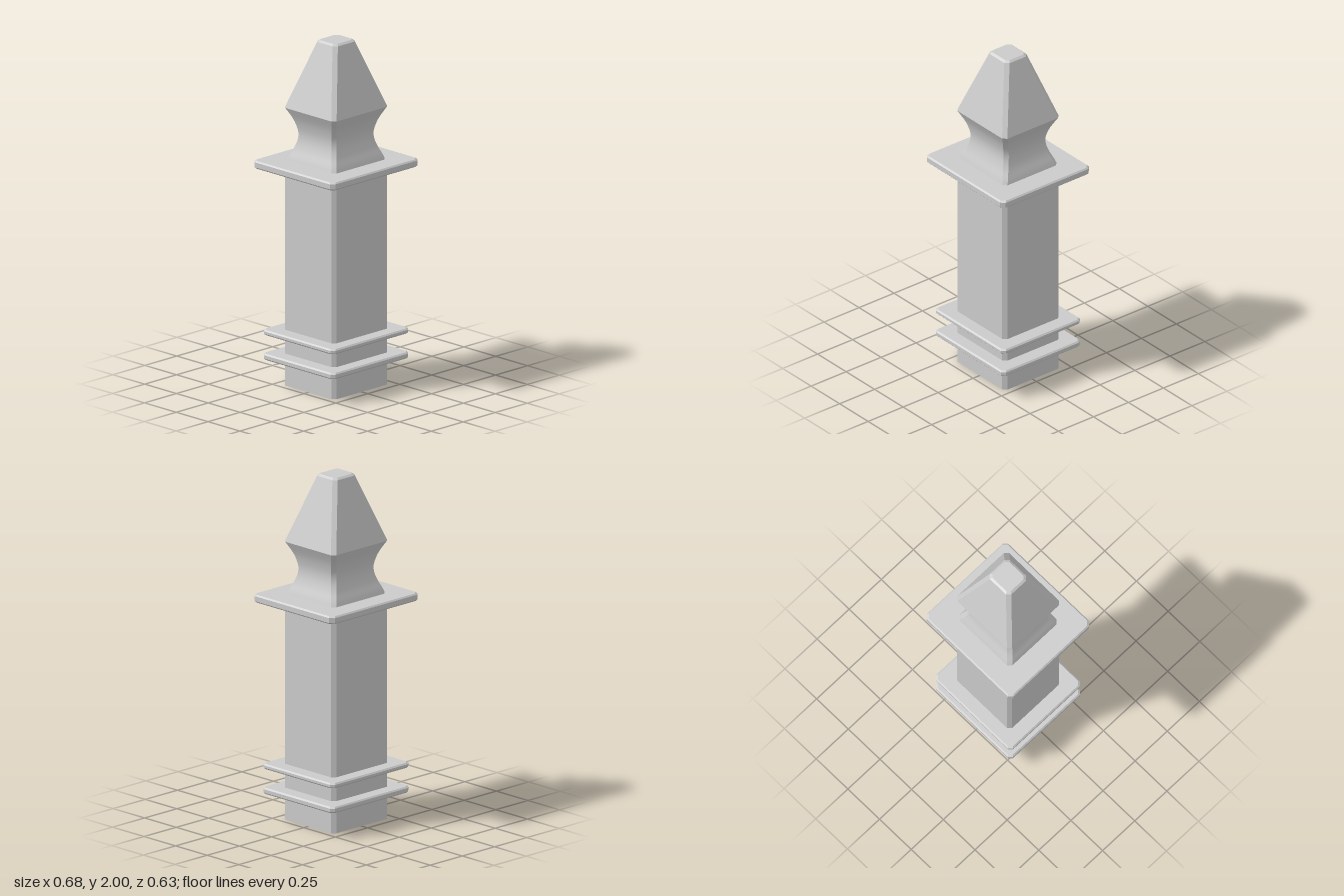
import * as THREE from 'three';

const grey = new THREE.MeshStandardMaterial({ color: 0xcccccc, side: THREE.DoubleSide });

// Rectangle with cut corners, counter-clockwise seen from above
function section([hx, hz, y, c]) {
  return [
    [hx, hz - c], [hx, c - hz], [hx - c, -hz], [c - hx, -hz],
    [-hx, c - hz], [-hx, hz - c], [c - hx, hz], [hx - c, hz],
  ].map(([x, z]) => [x, y, z]);
}

// Skin through sections [halfX, halfZ, y, cornerCut]; sides stay sharp, rows may be smooth
function loft(name, sections, smooth = false) {
  const rows = sections.map(section);
  const pos = [], index = [];
  for (let side = 0; side < 8; side++) {
    const base = pos.length / 3;
    rows.forEach((row) => pos.push(...row[side], ...row[(side + 1) % 8]));
    for (let r = 0; r < rows.length - 1; r++) {
      const a = base + r * 2;
      index.push(a, a + 1, a + 3, a, a + 3, a + 2);
    }
  }
  let geo = new THREE.BufferGeometry();
  geo.setAttribute('position', new THREE.Float32BufferAttribute(pos, 3));
  geo.setIndex(index);
  if (!smooth) geo = geo.toNonIndexed();
  geo.computeVertexNormals();
  const mesh = new THREE.Mesh(geo, grey);
  mesh.name = name;
  return mesh;
}

// Flat rectangular ring with bevelled outer edges, open in the middle
function ring(name, hx, hz, y0, y1, cut, bevel) {
  const inner = (y) => [0.185, 0.17, y, 0.02];
  const inset = (y) => [hx - bevel, hz - bevel, y, cut];
  return loft(name, [
    inner(y0), inset(y0),
    [hx, hz, y0 + bevel, cut], [hx, hz, y1 - bevel, cut],
    inset(y1), inner(y1), inner(y0),
  ]);
}

export function createModel() {
  const model = new THREE.Group();
  const HX = 0.217, HZ = 0.202, CUT = 0.021;

  // Hollow shaft, open at the bottom
  model.add(loft('post', [[HX, HZ, 0, CUT], [HX, HZ, 1.29, CUT]]));

  // Two thin rings near the base and the wide collar below the neck
  model.add(ring('lowerRing', 0.304, 0.282, 0.15, 0.186, 0.02, 0.008));
  model.add(ring('upperRing', 0.304, 0.282, 0.294, 0.324, 0.02, 0.008));
  model.add(ring('collar', 0.342, 0.317, 1.26, 1.305, 0.022, 0.008));

  // Concave neck: a smooth curve of insets from the shaft outline
  const curve = new THREE.SplineCurve([
    [0.003, 1.29], [0.017, 1.33], [0.036, 1.375], [0.049, 1.42],
    [0.052, 1.46], [0.046, 1.5], [0.03, 1.55], [0, 1.61],
  ].map(([d, y]) => new THREE.Vector2(d, y)));
  model.add(loft('neck', curve.getPoints(20).map(({ x: d, y }) => [HX - d, HZ - d, y, CUT]), true));

  // Tapered head with a small bevel and flat tip
  model.add(loft('head', [
    [HX, HZ, 1.61, CUT],
    [0.085, 0.079, 1.99, CUT],
    [0.072, 0.066, 2, 0.016],
    [0, 0, 2, 0],
  ]));

  return model;
}
